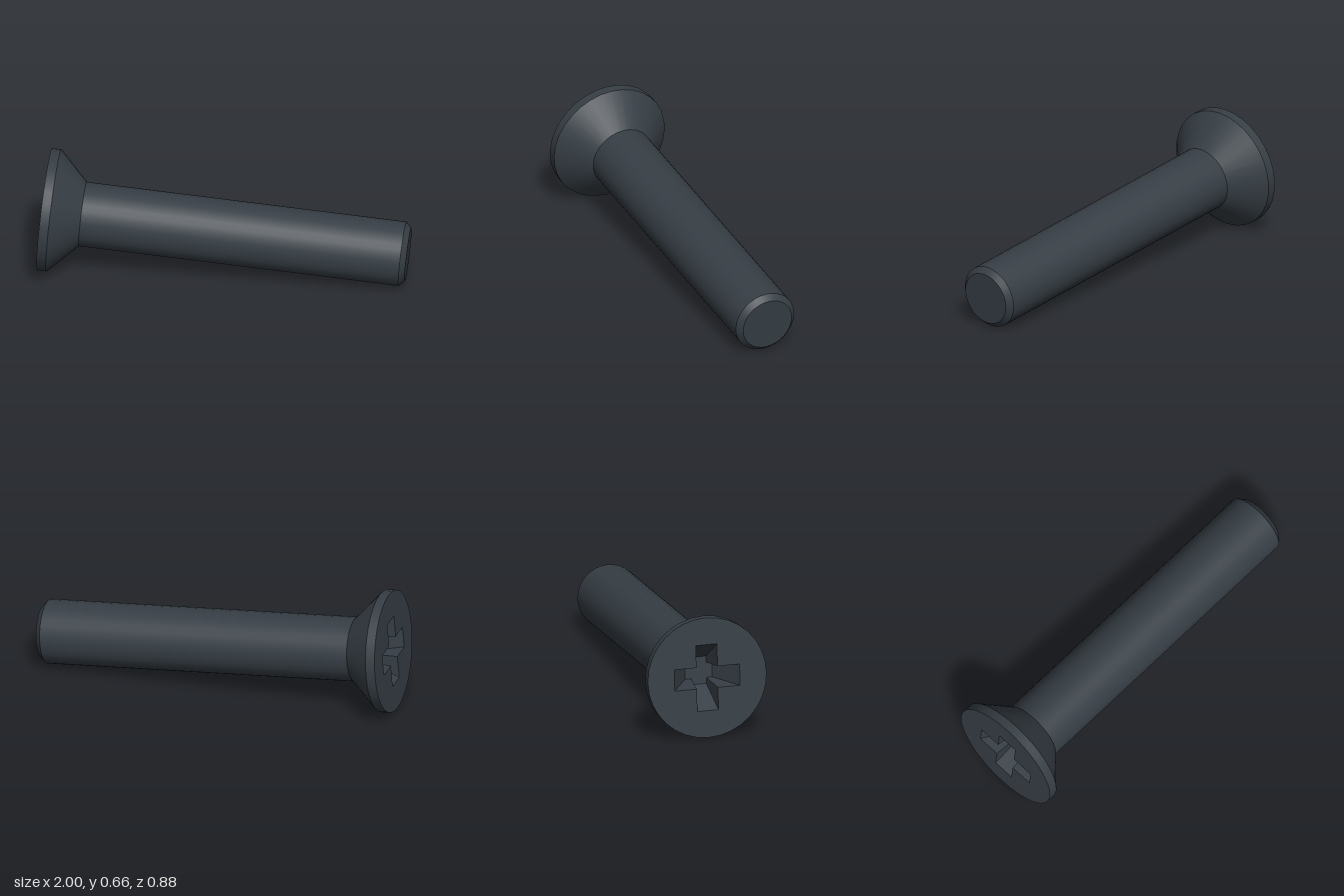
import * as THREE from 'three';

const SIDES = 32;
const HEAD_R = 0.327, SHAFT_R = 0.172, TIP_R = 0.143;
const LENGTH = 1.944;

// Cross-shaped outline, counter-clockwise: arm reach and half width
function crossOutline(reach, half) {
  const points = [];
  for (let k = 0; k < 4; k++) {
    for (const [x, y] of [[half, -half], [reach, -half], [reach, half]]) {
      points.push(new THREE.Vector2(x, y).rotateAround(new THREE.Vector2(), k * Math.PI / 2));
    }
  }
  return points;
}

// Flat walls joining the cross at the face to a smaller cross below it
function recessWalls(top, bottom, depth) {
  const positions = [];
  top.forEach((a, i) => {
    const j = (i + 1) % top.length;
    const b = top[j], c = bottom[j], d = bottom[i];
    positions.push(a.x, a.y, 0, b.x, b.y, 0, c.x, c.y, -depth);
    positions.push(a.x, a.y, 0, c.x, c.y, -depth, d.x, d.y, -depth);
  });
  const geometry = new THREE.BufferGeometry();
  geometry.setAttribute('position', new THREE.Float32BufferAttribute(positions, 3));
  geometry.computeVertexNormals();
  return geometry;
}

export function createModel() {
  const steel = new THREE.MeshStandardMaterial({ color: 0x363e45 });
  steel.name = 'dark steel';

  const screw = new THREE.Group();
  screw.name = 'screw';

  const add = (name, geometry) => {
    const mesh = new THREE.Mesh(geometry, steel);
    mesh.name = name;
    screw.add(mesh);
    return mesh;
  };

  // Round sections along the axis; the face lies at z = 0, the tip at -LENGTH
  const sections = [
    ['headRim', 0, 0.05, HEAD_R, HEAD_R],
    ['headCone', 0.05, 0.205, HEAD_R, SHAFT_R],
    ['shaft', 0.205, LENGTH - 0.03, SHAFT_R, SHAFT_R],
    ['tipChamfer', LENGTH - 0.03, LENGTH, SHAFT_R, TIP_R],
  ];
  for (const [name, from, to, r1, r2] of sections) {
    const geometry = new THREE.CylinderGeometry(r1, r2, to - from, SIDES, 1, true);
    geometry.rotateX(Math.PI / 2).translate(0, 0, -(from + to) / 2);
    add(name, geometry);
  }

  // Flat end of the shaft
  const tip = new THREE.CircleGeometry(TIP_R, SIDES);
  tip.rotateY(Math.PI).translate(0, 0, -LENGTH);
  add('tipFace', tip);

  // Head face with the tapered cross recess
  const depth = 0.17;
  const top = crossOutline(0.18, 0.058);
  const bottom = crossOutline(0.075, 0.042);
  const rim = [];
  for (let i = 0; i < SIDES; i++) {
    const t = (i / SIDES) * Math.PI * 2;
    rim.push(new THREE.Vector2(HEAD_R * Math.cos(t), HEAD_R * Math.sin(t)));
  }
  const face = new THREE.Shape(rim);
  face.holes.push(new THREE.Path(top));
  add('headFace', new THREE.ShapeGeometry(face));
  add('recessWalls', recessWalls(top, bottom, depth));
  add('recessFloor', new THREE.ShapeGeometry(new THREE.Shape(bottom)).translate(0, 0, -depth));

  // Lay the screw down, resting on its head and tip
  const out = new THREE.Vector3(-0.975, 0.082, -0.205).normalize();
  const side = new THREE.Vector3(0, 1, 0).cross(out).normalize();
  const up = out.clone().cross(side);
  screw.quaternion.setFromRotationMatrix(new THREE.Matrix4().makeBasis(side, up, out));
  screw.position.set(-0.927, 0.33, -0.12);

  const model = new THREE.Group();
  model.name = 'countersunkScrew';
  model.add(screw);
  return model;
}
